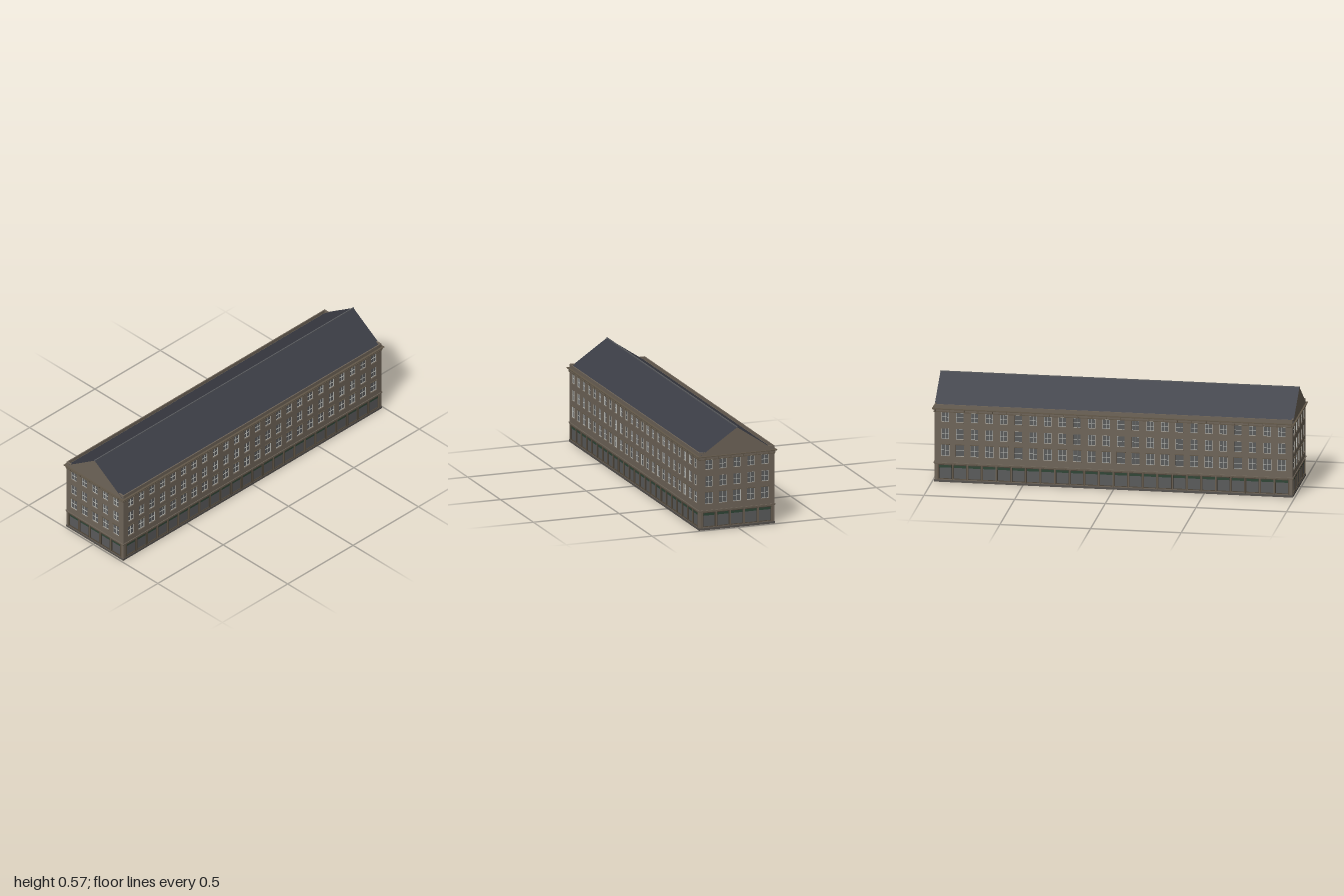
import * as THREE from 'three';
import { mergeGeometries } from 'three/addons/utils/BufferGeometryUtils.js';

const HX = 0.988, HZ = 0.22; // half length and half depth of the walls

const mat = (name, color, extra = {}) => {
  const m = new THREE.MeshStandardMaterial({ color, ...extra });
  m.name = name;
  return m;
};

// Box given by its extents
function box(x0, x1, y0, y1, z0, z1) {
  return new THREE.BoxGeometry(x1 - x0, y1 - y0, z1 - z0)
    .translate((x0 + x1) / 2, (y0 + y1) / 2, (z0 + z1) / 2);
}

// Clockwise rectangle used as a hole
function hole(x0, x1, y0, y1) {
  const p = new THREE.Path();
  p.moveTo(x0, y0).lineTo(x0, y1).lineTo(x1, y1).lineTo(x1, y0).closePath();
  return p;
}

function rect(hx, y0, y1) {
  const s = new THREE.Shape();
  s.moveTo(-hx, y0).lineTo(hx, y0).lineTo(hx, y1).lineTo(-hx, y1).closePath();
  return s;
}

export function createModel() {
  const model = new THREE.Group();
  model.name = 'building';
  const M = {
    wall: mat('brown stone', 0x6f6559),
    trim: mat('dark stone trim', 0x625849),
    glass: mat('grey glass', 0x5a5b5c),
    frame: mat('pale window frame', 0xb9bab4),
    shop: mat('dark shop frame', 0x4b4338),
    sign: mat('green fascia', 0x2f4636),
    base: mat('grey plinth', 0x57534f),
    roof: mat('slate', 0x3b3d45),
    ridge: mat('ridge metal', 0x5a5c60),
  };
  const add = (parent, name, geo, material) => {
    const mesh = new THREE.Mesh(geo, material);
    mesh.name = name;
    parent.add(mesh);
    return mesh;
  };

  // Storeys of windows: bottom, top, width
  const rows = [[0.147, 0.212, 0.046], [0.243, 0.303, 0.041], [0.34, 0.394, 0.041]];

  // One facade in its own frame, wall face on z = 0, looking along +z
  function facade(name, half, count, pitch, bracketCount, bracketPitch) {
    const g = new THREE.Group();
    g.name = name;
    const wall = rect(half, 0, 0.42);
    const glass = [], frames = [], sills = [], shop = [], signs = [], trim = [], brackets = [];
    for (let i = 0; i < count; i++) {
      const x = (i - (count - 1) / 2) * pitch;

      // Upper windows with cross bars, sills and lintels
      rows.forEach(([y0, y1, w], r) => {
        const a = x - w / 2, b = x + w / 2, t = 0.0018, ym = (y0 + y1) / 2;
        wall.holes.push(hole(a, b, y0, y1));
        glass.push(box(a, b, y0, y1, -0.009, -0.006));
        frames.push(
          box(a, a + t, y0, y1, -0.006, -0.003), box(b - t, b, y0, y1, -0.006, -0.003),
          box(a + t, b - t, y0, y0 + t, -0.006, -0.003), box(a + t, b - t, y1 - t, y1, -0.006, -0.003),
          box(x - t / 2, x + t / 2, y0 + t, y1 - t, -0.006, -0.0035),
          box(a + t, b - t, ym - t / 2, ym + t / 2, -0.006, -0.003));
        sills.push(box(a - 0.001, b + 0.001, y0 - 0.003, y0, -0.004, 0.003));
        if (r === 0) trim.push(box(a - 0.002, b + 0.002, y1, y1 + 0.004, -0.004, 0.004));
      });

      // Shop bay: recessed pane, frame and fascia
      const a = x - 0.036, b = x + 0.036, y0 = 0.018, y1 = 0.098, t = 0.002;
      wall.holes.push(hole(a, b, y0, y1));
      glass.push(box(a, b, y0, 0.081, -0.009, -0.006));
      signs.push(box(a + t, b - t, 0.081, y1 - t, -0.009, -0.003));
      shop.push(
        box(a, a + t, y0, y1, -0.009, 0.001), box(b - t, b, y0, y1, -0.009, 0.001),
        box(a + t, b - t, y0, y0 + t, -0.009, 0.001), box(a, b, y1 - t, y1 + 0.002, -0.009, 0.002));
    }
    // Pilasters between the shop bays
    for (let i = 0; i <= count; i++) {
      const x = (i - count / 2) * pitch;
      trim.push(box(x - 0.003, x + 0.003, 0.012, 0.1, -0.004, 0.0015));
    }
    // Brackets below the cornice
    for (let i = 0; i < bracketCount; i++) {
      const x = (i - (bracketCount - 1) / 2) * bracketPitch;
      brackets.push(box(x - 0.002, x + 0.002, 0.399, 0.411, 0, 0.007));
    }
    const wallGeo = new THREE.ExtrudeGeometry(wall, { depth: 0.01, bevelEnabled: false });
    add(g, 'wall', wallGeo.translate(0, 0, -0.01), M.wall);
    add(g, 'windowGlass', mergeGeometries(glass), M.glass);
    add(g, 'windowFrames', mergeGeometries(frames), M.frame);
    add(g, 'windowSills', mergeGeometries(sills), M.wall);
    add(g, 'lintelsAndPilasters', mergeGeometries(trim), M.trim);
    add(g, 'shopFrames', mergeGeometries(shop), M.shop);
    add(g, 'shopFascias', mergeGeometries(signs), M.sign);
    add(g, 'corniceBrackets', mergeGeometries(brackets), M.trim);
    return g;
  }

  // Four facades: matching long sides and matching ends
  const front = facade('frontFacade', HX, 24, 0.0807, 26, 0.0785);
  const right = facade('endFacade', HZ, 5, 0.0815, 6, 0.0735);
  const back = front.clone(), left = right.clone();
  back.name = 'backFacade';
  left.name = 'otherEndFacade';
  front.position.z = HZ;
  back.position.z = -HZ;
  back.rotation.y = Math.PI;
  right.position.x = HX;
  right.rotation.y = Math.PI / 2;
  left.position.x = -HX;
  left.rotation.y = -Math.PI / 2;
  model.add(front, back, right, left);

  // Horizontal bands running round the whole building
  const band = (name, y0, y1, out, m) =>
    add(model, name, box(-HX - out, HX + out, y0, y1, -HZ - out, HZ + out), m);
  band('plinth', 0, 0.012, 0.0015, M.base);
  band('stringCourseLower', 0.103, 0.107, 0.002, M.trim);
  band('stringCourseUpper', 0.107, 0.112, 0.004, M.wall);
  band('architrave', 0.395, 0.399, 0.003, M.trim);
  band('corniceBed', 0.403, 0.411, 0.004, M.wall);
  band('corniceMiddle', 0.411, 0.414, 0.009, M.trim);
  band('corniceTop', 0.414, 0.417, 0.012, M.trim);

  // Low parapet above the cornice
  const parapet = new THREE.Shape();
  parapet.moveTo(-HX, -HZ).lineTo(HX, -HZ).lineTo(HX, HZ).lineTo(-HX, HZ).closePath();
  parapet.holes.push(hole(-HX + 0.008, HX - 0.008, -HZ + 0.006, HZ - 0.006));
  const parapetGeo = new THREE.ExtrudeGeometry(parapet, { depth: 0.021, bevelEnabled: false });
  add(model, 'parapet', parapetGeo.rotateX(-Math.PI / 2).translate(0, 0.417, 0), M.wall);

  // Pitched roof: stone gables on the caps, slate on the slopes
  const gable = new THREE.Shape();
  gable.moveTo(-HZ, 0.415).lineTo(HZ, 0.415).lineTo(0, 0.563).closePath();
  const roofLen = 2 * (HX + 0.002);
  const roofGeo = new THREE.ExtrudeGeometry(gable, { depth: roofLen, bevelEnabled: false });
  roofGeo.translate(0, 0, -roofLen / 2).rotateY(Math.PI / 2);
  add(model, 'roofWithGables', roofGeo, [M.wall, M.roof]);
  add(model, 'roofRidge', box(-HX - 0.003, HX + 0.003, 0.56, 0.566, -0.003, 0.003), M.ridge);

  return model;
}
